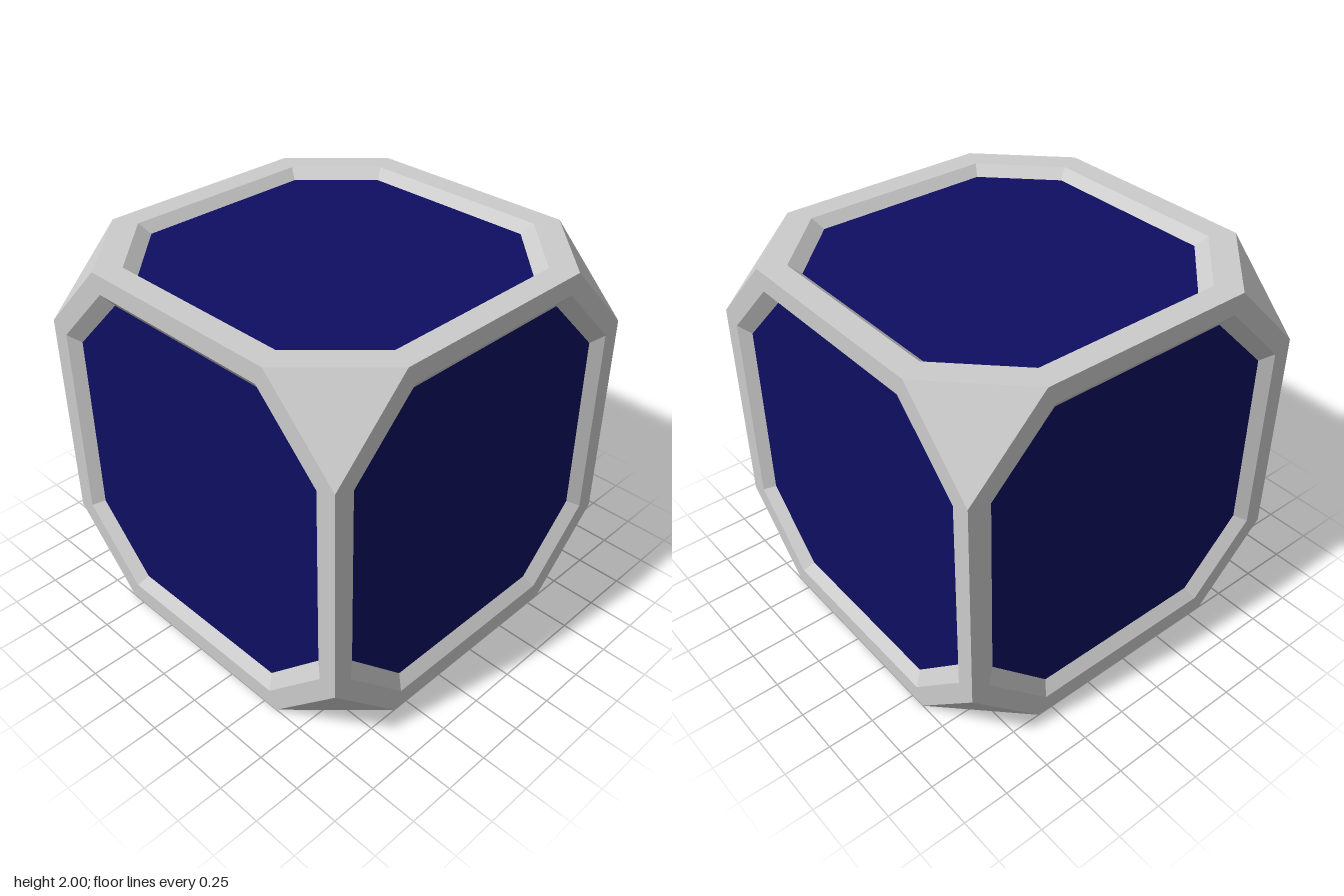
import * as THREE from 'three';

const CUT = 0.586; // where the cut corners meet the cube's edges
const DEPTH = 0.05; // how far the panels are sunk

const frameMaterial = new THREE.MeshStandardMaterial({ color: 0xcccccc, flatShading: true });
const panelMaterial = new THREE.MeshStandardMaterial({ color: 0x0e0e62 });

// Octagon with half width h and half side length s, counter-clockwise
function octagon(h, s) {
  return [[h, -s], [h, s], [s, h], [-s, h], [-h, s], [-h, -s], [-s, -h], [s, -h]]
    .map(([x, y]) => new THREE.Vector2(x, y));
}

function mesh(name, geometry, material) {
  const m = new THREE.Mesh(geometry, material);
  m.name = name;
  return m;
}

function triangles(points) {
  const g = new THREE.BufferGeometry().setFromPoints(points);
  g.computeVertexNormals();
  return g;
}

// One side of the cube facing +z: flat rim, sloping bevel and sunken panel
function createSide(name, rimHalf, rimSide, panelHalf, panelSide) {
  const side = new THREE.Group();
  side.name = name;
  const rim = octagon(rimHalf, rimSide);
  const inner = octagon(panelHalf, panelSide);

  const frame = new THREE.Shape(octagon(1, CUT));
  frame.holes.push(new THREE.Path(rim));
  side.add(mesh('rim', new THREE.ShapeGeometry(frame).translate(0, 0, 1), frameMaterial));

  const points = [];
  for (let i = 0; i < 8; i++) {
    const j = (i + 1) % 8;
    const a = new THREE.Vector3(rim[i].x, rim[i].y, 1);
    const b = new THREE.Vector3(rim[j].x, rim[j].y, 1);
    const c = new THREE.Vector3(inner[j].x, inner[j].y, 1 - DEPTH);
    const d = new THREE.Vector3(inner[i].x, inner[i].y, 1 - DEPTH);
    points.push(a, b, c, a, c, d);
  }
  side.add(mesh('bevel', triangles(points), frameMaterial));

  const panel = new THREE.ShapeGeometry(new THREE.Shape(inner)).translate(0, 0, 1 - DEPTH);
  side.add(mesh('panel', panel, panelMaterial));
  return side;
}

export function createModel() {
  const model = new THREE.Group();
  model.name = 'truncatedCube';
  const body = new THREE.Group();
  body.name = 'body';
  body.position.y = 1;
  model.add(body);

  // Four upright sides
  ['frontSide', 'leftSide', 'backSide', 'rightSide'].forEach((name, i) => {
    const side = createSide(name, 0.9, 0.54, 0.84, 0.502);
    side.rotation.y = i * Math.PI / 2;
    body.add(side);
  });

  // Top and bottom, with slightly wider rims
  [['topSide', -1], ['bottomSide', 1]].forEach(([name, turn]) => {
    const side = createSide(name, 0.87, 0.525, 0.815, 0.49);
    side.rotation.x = turn * Math.PI / 2;
    body.add(side);
  });

  // Eight triangular corner facets
  for (const x of [-1, 1]) for (const y of [-1, 1]) for (const z of [-1, 1]) {
    const p = [
      new THREE.Vector3(x * CUT, y, z),
      new THREE.Vector3(x, y, z * CUT),
      new THREE.Vector3(x, y * CUT, z),
    ];
    const normal = p[1].clone().sub(p[0]).cross(p[2].clone().sub(p[0]));
    if (normal.dot(p[0]) < 0) p.reverse(); // keep the facet facing outward
    body.add(mesh('cornerFacet', triangles(p), frameMaterial));
  }
  return model;
}
